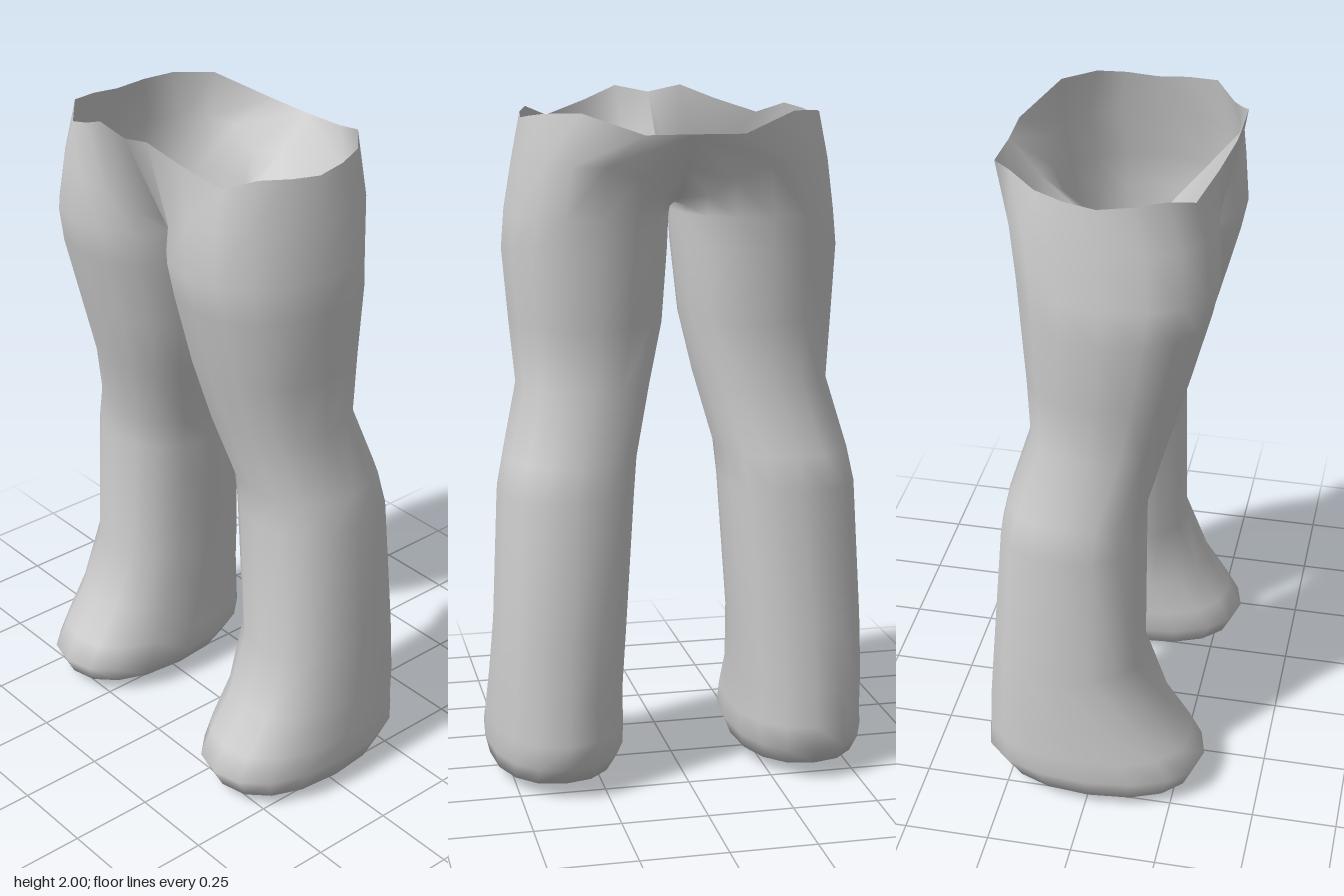
import * as THREE from 'three';
import { mergeVertices } from 'three/addons/utils/BufferGeometryUtils.js';

const SIDES = 16; // index 0 faces front, 4 outwards, 8 back, 12 inwards

// Left leg cross-sections from foot to hip: y, inner x, outer x, back z, front z
const SECTIONS = [
  [0.04, 0.19, 0.555, -0.28, 0.30],
  [0.10, 0.165, 0.57, -0.335, 0.33],
  [0.17, 0.165, 0.565, -0.33, 0.29],
  [0.28, 0.17, 0.56, -0.325, 0.215],
  [0.46, 0.16, 0.55, -0.31, 0.145],
  [0.87, 0.13, 0.53, -0.28, 0.14],
  [0.97, 0.12, 0.51, -0.26, 0.14],
  [1.17, 0.07, 0.46, -0.20, 0.195],
  [1.35, 0.03, 0.475, -0.21, 0.245],
  [1.56, 0.012, 0.49, -0.225, 0.30],
  [1.66, 0.008, 0.48, -0.235, 0.32],
];

// Waist edge from front to back, then the crotch seam back to the front
const WAIST = [
  [0.20, 1.96, 0.30], [0.32, 1.92, 0.26], [0.39, 1.95, 0.20], [0.42, 1.94, 0.11],
  [0.43, 1.93, 0.02], [0.42, 1.94, -0.07], [0.39, 1.95, -0.15], [0.30, 1.955, -0.235],
  [0.14, 1.90, -0.32], [0, 1.90, -0.315], [0, 1.80, -0.23], [0, 1.71, -0.13],
  [0, 1.69, 0], [0, 1.74, 0.13], [0, 1.98, 0.325], [0.10, 2.0, 0.33],
];

// Slightly squared oval
function oval([y, x0, x1, z0, z1]) {
  const soft = (v) => Math.sign(v) * Math.abs(v) ** 0.88;
  return Array.from({ length: SIDES }, (_, i) => {
    const a = (i / SIDES) * Math.PI * 2;
    return [
      (x0 + x1) / 2 + ((x1 - x0) / 2) * soft(Math.sin(a)), y,
      (z0 + z1) / 2 + ((z1 - z0) / 2) * soft(Math.cos(a)),
    ];
  });
}

function legRings() {
  const rings = SECTIONS.map(oval);
  // Hip section dips on the inside to meet the crotch
  const dip = { 9: 0.04, 10: 0.09, 11: 0.125, 12: 0.13, 13: 0.125, 14: 0.09, 15: 0.04 };
  rings.push(oval([1.81, 0.008, 0.455, -0.255, 0.31])
    .map(([x, y, z], i) => [x, y - (dip[i] || 0), z]));
  rings.push(WAIST);
  return rings;
}

function trousersGeometry() {
  const rings = legRings();
  const sole = [0.37, 0, 0.06];
  const pos = [];
  for (const side of [1, -1]) {
    const tri = (a, b, c) => {
      for (const p of side > 0 ? [a, b, c] : [a, c, b]) pos.push(p[0] * side, p[1], p[2]);
    };
    for (let i = 0; i < SIDES; i++) {
      const j = (i + 1) % SIDES;
      tri(sole, rings[0][j], rings[0][i]);
      for (let k = 0; k < rings.length - 1; k++) {
        tri(rings[k][i], rings[k][j], rings[k + 1][j]);
        tri(rings[k][i], rings[k + 1][j], rings[k + 1][i]);
      }
    }
  }
  const geo = new THREE.BufferGeometry();
  geo.setAttribute('position', new THREE.Float32BufferAttribute(pos, 3));
  const merged = mergeVertices(geo, 1e-4);
  merged.computeVertexNormals();
  return merged;
}

export function createModel() {
  const group = new THREE.Group();
  group.name = 'trousers';
  const cloth = new THREE.MeshStandardMaterial({ color: 0xcccccc, side: THREE.DoubleSide });
  cloth.name = 'light grey cloth';
  // Both legs and the open waist form one continuous skin
  const skin = new THREE.Mesh(trousersGeometry(), cloth);
  skin.name = 'legsAndWaist';
  group.add(skin);
  return group;
}
